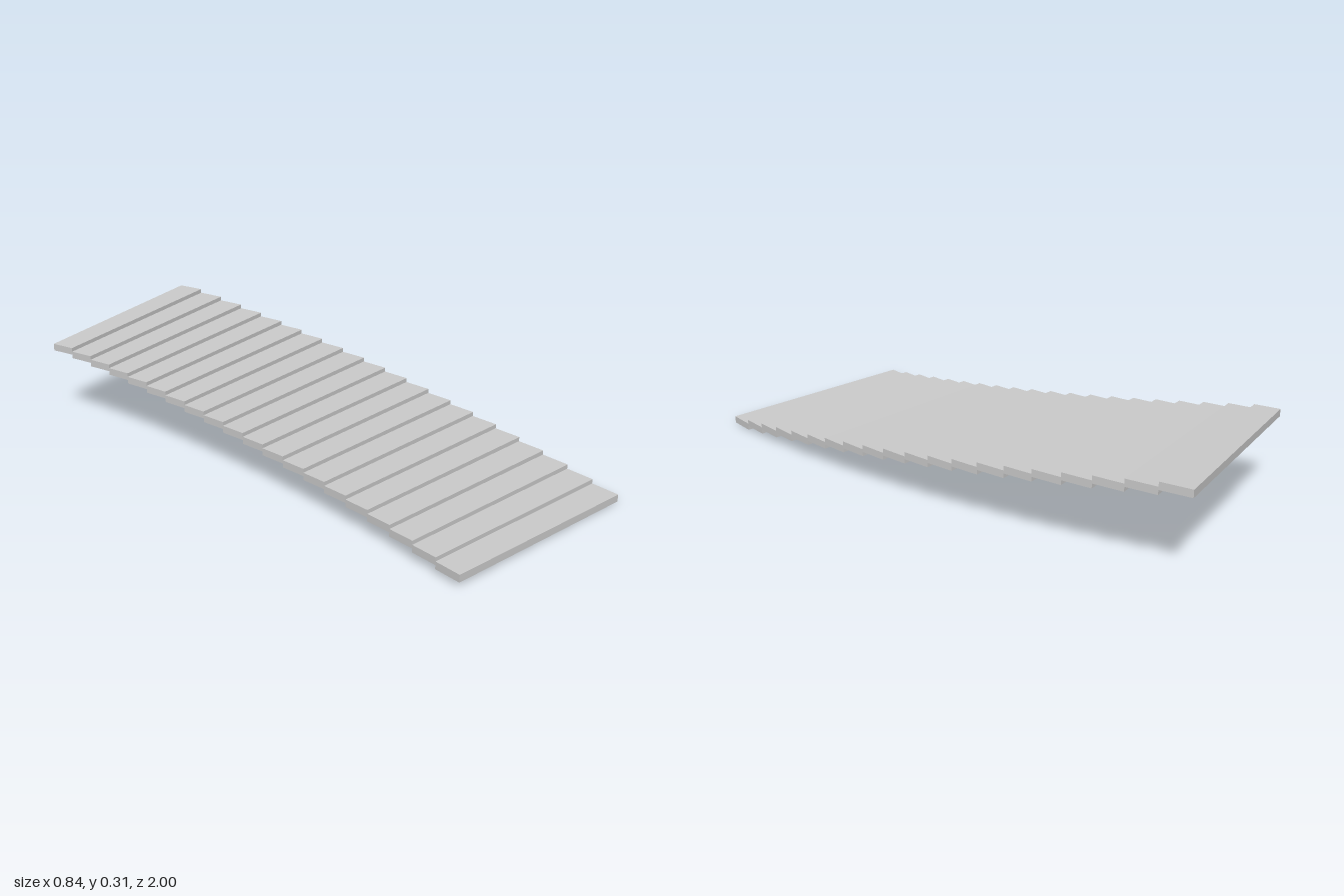
import * as THREE from 'three';

const STEPS = 20;
const THICKNESS = 0.025;

// Plan position of the k-th tread edge (k = -10 back ... 10 front) on either side of the flight
function edgePoint(k, outer) {
  const t = k / 10;
  return outer
    ? { x: 0.419 - 0.086 * t * t, z: t }
    : { x: -0.344 - 0.076 * t * t, z: 0.885 * t + 0.015 * t * t };
}

// One wedge-shaped tread: a box whose corners are moved onto two neighbouring edges
function treadGeometry(i) {
  const geo = new THREE.BoxGeometry(1, 1, 1);
  const pos = geo.attributes.position;
  const level = i - (STEPS - 1) / 2;
  for (let v = 0; v < pos.count; v++) {
    const outer = pos.getX(v) > 0;
    const k = STEPS / 2 - i - (pos.getZ(v) > 0 ? 0 : 1);
    const p = edgePoint(k, outer);
    // the outer end rises a little faster than the inner end
    const base = 0.145 + level * (outer ? 0.01526 : 0.0134);
    pos.setXYZ(v, p.x, base + (pos.getY(v) > 0 ? THICKNESS : 0), p.z);
  }
  geo.computeVertexNormals();
  return geo;
}

export function createModel() {
  const group = new THREE.Group();
  group.name = 'curvedStairs';
  const material = new THREE.MeshStandardMaterial({ color: 0xcccccc, flatShading: true });

  // Treads climbing from front to back
  for (let i = 0; i < STEPS; i++) {
    const tread = new THREE.Mesh(treadGeometry(i), material);
    tread.name = `tread${i + 1}`;
    group.add(tread);
  }
  return group;
}
